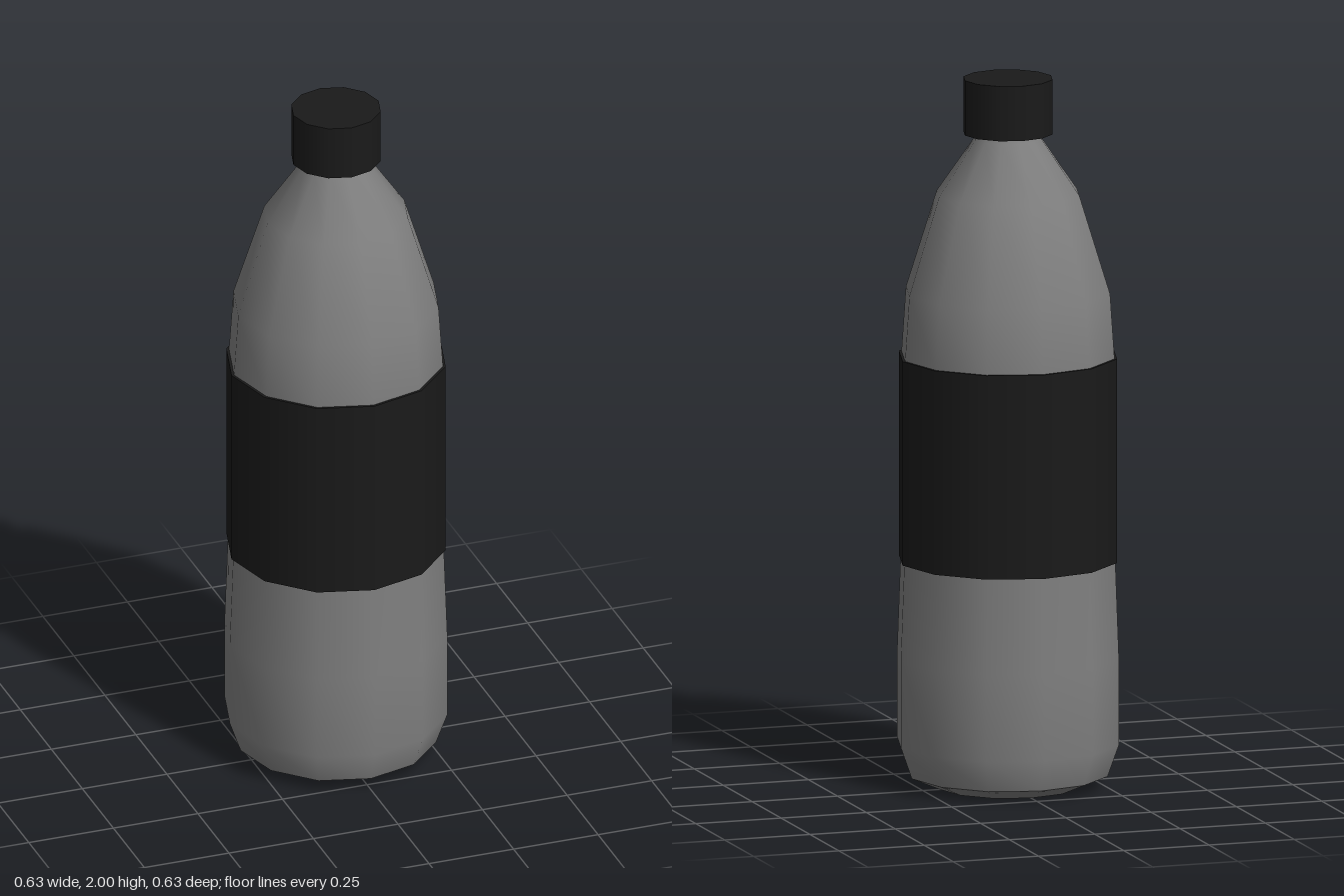
import * as THREE from 'three';
import { mergeGeometries } from 'three/addons/utils/BufferGeometryUtils.js';

const SIDES = 12;

// Turns profile runs of [radius, y]; each run is smooth, the joints between runs stay sharp.
function turned(name, material, runs) {
  const parts = runs.map((run) =>
    new THREE.LatheGeometry(run.map(([r, y]) => new THREE.Vector2(r, y)), SIDES));
  const mesh = new THREE.Mesh(mergeGeometries(parts), material);
  mesh.name = name;
  return mesh;
}

export function createModel() {
  const bottle = new THREE.Group();
  bottle.name = 'bottle';

  const plastic = new THREE.MeshStandardMaterial({ color: 0x808080 });
  const dark = new THREE.MeshStandardMaterial({ color: 0x1a1a1a });

  // Body: bevelled base, then one smooth wall up to the neck inside the cap
  bottle.add(turned('body', plastic, [
    [[0, 0], [0.2, 0], [0.282, 0.035]],
    [[0.282, 0.035], [0.314, 0.125], [0.314, 0.37], [0.304, 0.64], [0.302, 1.21],
      [0.289, 1.4], [0.202, 1.675], [0.095, 1.83], [0.092, 1.9]],
  ]));

  // Label: sleeve with thin rims that meet the body
  const [low, high, inner, outer] = [0.64, 1.217, 0.296, 0.309];
  bottle.add(turned('label', dark, [
    [[inner, low], [outer, low]],
    [[outer, low], [outer, high]],
    [[outer, high], [inner, high]],
  ]));

  // Cap: wider than the neck, flat on top and underneath
  const cap = new THREE.Mesh(new THREE.CylinderGeometry(0.126, 0.126, 0.155, SIDES), dark);
  cap.name = 'cap';
  cap.position.y = 2 - 0.155 / 2;
  bottle.add(cap);

  return bottle;
}
